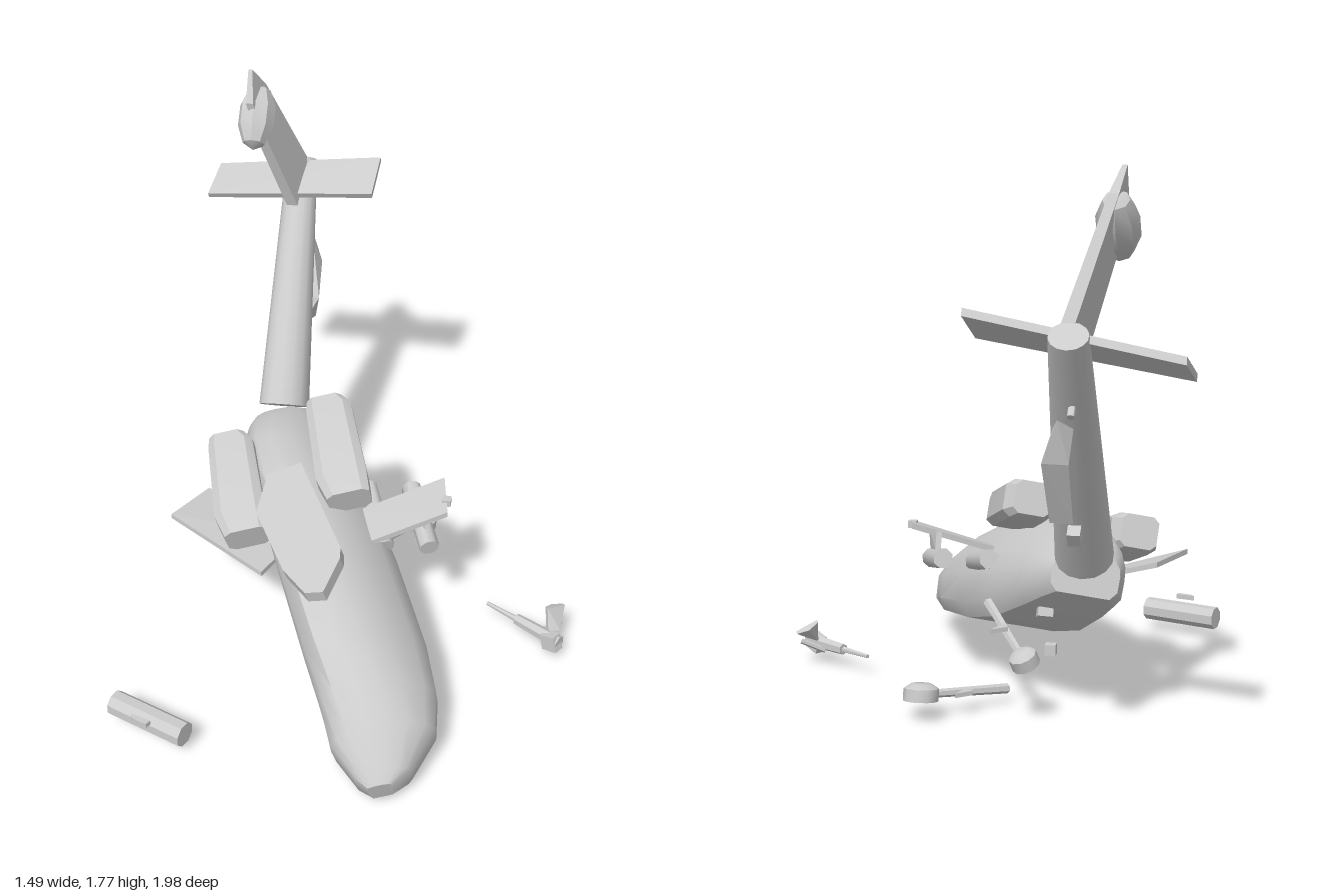
import * as THREE from 'three';
import { toCreasedNormals } from 'three/addons/utils/BufferGeometryUtils.js';
import { ConvexGeometry } from 'three/addons/geometries/ConvexGeometry.js';

const mat = new THREE.MeshStandardMaterial({ color: 0xcccccc, side: THREE.DoubleSide });
const V = (a) => new THREE.Vector3(...a);

function add(parent, name, geo) {
  const m = new THREE.Mesh(geo, mat);
  m.name = name;
  parent.add(m);
  return m;
}

// convex solid around a few corner points
const hull = (parent, name, pts) => add(parent, name, new ConvexGeometry(pts.map(V)));

// thin slab: a set of corners thickened along one direction
const slab = (parent, name, pts, d) =>
  hull(parent, name, pts.concat(pts.map((p) => p.map((v, i) => v + d[i]))));

// tapered rod between two points
function rod(parent, name, a, b, ra, rb = ra, sides = 8, crease = 0.9) {
  const A = V(a), B = V(b), dir = B.clone().sub(A);
  const m = add(parent, name, toCreasedNormals(new THREE.CylinderGeometry(rb, ra, dir.length(), sides), crease));
  m.position.copy(A).add(B).multiplyScalar(0.5);
  m.quaternion.setFromUnitVectors(new THREE.Vector3(0, 1, 0), dir.normalize());
  return m;
}

function box(parent, name, size, pos, rot = [0, 0, 0]) {
  const m = add(parent, name, new THREE.BoxGeometry(...size));
  m.position.set(...pos);
  m.rotation.set(...rot);
  return m;
}

// capped skin through equal-sized rings, ordered along +z, counter-clockwise
function loft(rings, crease) {
  const n = rings[0].length, pos = rings.flat(2), idx = [];
  for (let i = 0; i + 1 < rings.length; i++)
    for (let j = 0; j < n; j++) {
      const a = i * n + j, b = i * n + (j + 1) % n;
      idx.push(a, b, a + n, b, b + n, a + n);
    }
  const last = (rings.length - 1) * n;
  for (let j = 1; j + 1 < n; j++) idx.push(0, j + 1, j, last, last + j, last + j + 1);
  const g = new THREE.BufferGeometry();
  g.setAttribute('position', new THREE.Float32BufferAttribute(pos, 3));
  g.setIndex(idx);
  return toCreasedNormals(g, crease);
}

// one half of the fuselage section: [width, height], positive heights scale by the roof
const HALF = [[0.78, -1], [0.98, -0.72], [1, -0.15], [0.91, 0.25], [0.69, 0.65], [0.38, 0.93]];
function bodyRing([t, cx, w, top, bot]) {
  const pts = [...HALF, [0, 1], ...HALF.map(([x, y]) => [-x, y]).reverse(), [0, -1]];
  return pts.map(([x, y]) => {
    const h = y > 0 ? y * top : -y * bot;
    return [cx + x * w - 0.36 * Math.max(h, 0), h, t];
  });
}

// chamfered rectangular ring
function nacelleRing(cx, cy, t, w, h) {
  const c = 0.68;
  return [[1, -c], [1, c], [c, 1], [-c, 1], [-1, c], [-1, -c], [-c, -1], [c, -1]]
    .map(([x, y]) => [cx + x * w, cy + y * h, t]);
}

function wheelLeg(parent, wheel, foot, r, axle) {
  const g = new THREE.Group();
  g.name = 'landingGear';
  parent.add(g);
  const at = (k) => wheel.map((v, i) => v + axle[i] * k);
  rod(g, 'wheel', at(-0.02), at(0.02), r, r, 10);
  rod(g, 'wheelCap', at(0.02), at(0.035), r, r * 0.6, 10);
  rod(g, 'strut', wheel, foot, 0.013, 0.017, 6);
  const mid = wheel.map((v, i) => v * 0.45 + foot[i] * 0.55);
  slab(g, 'strutBrace', [mid, [mid[0] + 0.03, mid[1], mid[2] - 0.08], [mid[0] - 0.02, mid[1], mid[2] - 0.04]], [0, 0.015, 0]);
}

export function createModel() {
  const root = new THREE.Group();
  root.name = 'wreckedHelicopter';

  // fuselage frame: nose down, rolled, turned
  const F = V([0.31, -0.29, 0.905]).normalize();
  const L = V([0.93, 0.2, -0.3]).addScaledVector(F, 0.04).normalize();
  const U = F.clone().cross(L).normalize();
  L.crossVectors(U, F);
  const body = new THREE.Group();
  body.name = 'body';
  body.quaternion.setFromRotationMatrix(new THREE.Matrix4().makeBasis(L, U, F));
  body.position.set(-0.05, 0.38, 0.15);
  root.add(body);

  add(body, 'fuselage', loft([
    [-0.61, -0.14, 0.11, 0.05, -0.09], [-0.54, -0.135, 0.145, 0.105, -0.11], [-0.42, -0.12, 0.165, 0.155, -0.135],
    [-0.2, -0.075, 0.19, 0.205, -0.18], [0.1, -0.03, 0.2, 0.235, -0.185],
    [0.45, 0.01, 0.2, 0.215, -0.16], [0.62, 0.02, 0.19, 0.17, -0.15],
    [0.75, 0.01, 0.17, 0.11, -0.14], [0.87, -0.01, 0.09, 0.04, -0.12],
    [0.91, -0.025, 0.04, 0.01, -0.08],
  ].map(bodyRing), 0.7));

  // engine nacelles
  for (const [x, y, t, name] of [[-0.32, 0.155, -0.01, 'rightNacelle'], [0.05, 0.2, -0.04, 'leftNacelle']])
    add(body, name, loft([
      nacelleRing(x - 0.01, y + 0.005, t - 0.42, 0.062, 0.055), nacelleRing(x, y, t - 0.38, 0.08, 0.063),
      nacelleRing(x, y, t - 0.08, 0.088, 0.066), nacelleRing(x + 0.01, y - 0.008, t, 0.074, 0.054),
    ], 0.5));

  // roof cowl plate under the missing rotor
  const cowl = [[-0.31, 0.1], [-0.2, 0.06], [0, 0.41], [0.005, 0.45], [-0.03, 0.57], [-0.09, 0.57], [-0.18, 0.48], [-0.32, 0.25]]
    .map(([x, z]) => [x, 0.485 + 0.22 * (x + 0.06) - 0.31 * (z - 0.57), z]);
  slab(root, 'roofCowl', cowl, [-0.01, 0.045, 0.012]);

  // stub wings
  slab(root, 'leftWing', [[-0.05, 0.44, 0.09], [0.28, 0.555, -0.03], [0.31, 0.53, 0.13], [-0.02, 0.41, 0.24]], [0, 0.02, 0]);
  slab(root, 'rightWing', [[-0.22, 0.34, 0.11], [-0.56, 0.445, 0.02], [-0.65, 0.455, 0.2], [-0.31, 0.33, 0.31]], [0, 0.018, 0]);
  box(root, 'wingTipNub', [0.03, 0.025, 0.03], [0.3, 0.55, 0.07]);

  // stores still hanging below the left wing
  rod(root, 'outerPod', [0.255, 0.41, 0.16], [0.155, 0.47, -0.09], 0.035, 0.035, 8);
  rod(root, 'innerPod', [0.1, 0.4, 0.17], [0.0, 0.47, -0.07], 0.035, 0.035, 8);
  slab(root, 'podPylon', [[0.23, 0.44, 0.12], [0.18, 0.48, -0.02], [0.23, 0.53, 0.1], [0.18, 0.54, 0]], [0.018, 0.004, -0.005]);

  // tail boom, bent upward
  rod(root, 'tailBoom', [-0.365, 0.57, -0.38], [-0.39, 1.31, -0.945], 0.093, 0.057, 14);
  slab(root, 'tailplane', [[-0.73, 1.18, -0.83], [-0.71, 1.24, -0.97], [-0.08, 1.355, -0.88], [-0.09, 1.28, -0.73]], [0, 0.022, 0.012]);
  hull(root, 'tailFin', [
    [-0.37, 1.22, -0.74], [-0.41, 1.22, -0.74], [-0.36, 1.33, -0.91], [-0.4, 1.33, -0.91],
    [-0.455, 1.53, -0.64], [-0.49, 1.53, -0.64], [-0.47, 1.69, -0.74], [-0.5, 1.69, -0.74],
    [-0.49, 1.67, -0.61], [-0.515, 1.67, -0.61], [-0.5, 1.77, -0.67], [-0.515, 1.77, -0.67],
  ]);
  const hub = add(root, 'tailGearbox', toCreasedNormals(new THREE.SphereGeometry(1, 8, 5), 0.6));
  hub.scale.set(0.067, 0.12, 0.072);
  hub.position.set(-0.49, 1.6, -0.66);
  hub.rotation.x = -0.72;

  // fairing and fittings under the boom
  hull(root, 'boomFairing', [
    [-0.35, 0.74, -0.69], [-0.38, 0.75, -0.75], [-0.31, 0.75, -0.74], [-0.39, 0.85, -0.72], [-0.29, 0.85, -0.71],
    [-0.38, 0.94, -0.85], [-0.3, 0.94, -0.84], [-0.39, 1.04, -0.83], [-0.33, 1.04, -0.82], [-0.35, 1.07, -0.875],
  ]);
  box(root, 'boomBracket', [0.04, 0.04, 0.05], [-0.365, 0.685, -0.61], [0.9, 0, 0]);
  rod(root, 'boomStud', [-0.39, 1.13, -0.84], [-0.39, 1.08, -0.885], 0.012);
  box(root, 'bellyStep', [0.05, 0.03, 0.04], [-0.22, 0.345, -0.25], [0.4, 0.3, 0]);

  // broken landing gear
  wheelLeg(root, [-0.17, 0.21, -0.35], [-0.01, 0.34, -0.14], 0.047, [0.3, 0.9, -0.3]);
  wheelLeg(root, [0.165, 0.085, -0.38], [-0.08, 0.05, -0.16], 0.058, [0, 1, 0.2]);

  // fallen rocket pod
  const pod = new THREE.Group();
  pod.name = 'fallenPod';
  root.add(pod);
  rod(pod, 'podBody', [-0.73, 0.08, 0.735], [-0.46, 0.08, 0.84], 0.043, 0.043, 8, 0.5);
  slab(pod, 'podMount', [[-0.64, 0.12, 0.83], [-0.57, 0.12, 0.85], [-0.58, 0.12, 0.868], [-0.63, 0.12, 0.85]], [0, 0.018, 0]);

  // fallen gun
  const gun = new THREE.Group();
  gun.name = 'fallenGun';
  root.add(gun);
  rod(gun, 'barrel', [0.46, 0.07, 0.035], [0.6, 0.07, 0.12], 0.007, 0.012, 6);
  rod(gun, 'receiver', [0.57, 0.07, 0.1], [0.73, 0.07, 0.2], 0.02, 0.026, 6);
  slab(gun, 'feedChute', [[0.68, 0.08, 0.15], [0.72, 0.09, 0.15], [0.69, 0.14, 0.08], [0.73, 0.13, 0.06], [0.67, 0.16, 0.12]], [0.008, 0.005, 0.012]);
  box(gun, 'gunMount', [0.06, 0.06, 0.04], [0.7, 0.065, 0.19], [0, -0.6, 0.3]);
  rod(gun, 'gunArm', [0.65, 0.05, 0.14], [0.73, 0.09, 0.11], 0.01, 0.01, 6);

  // loose block
  box(root, 'looseBlock', [0.04, 0.04, 0.04], [-0.16, 0.062, 0.27]);
  return root;
}
